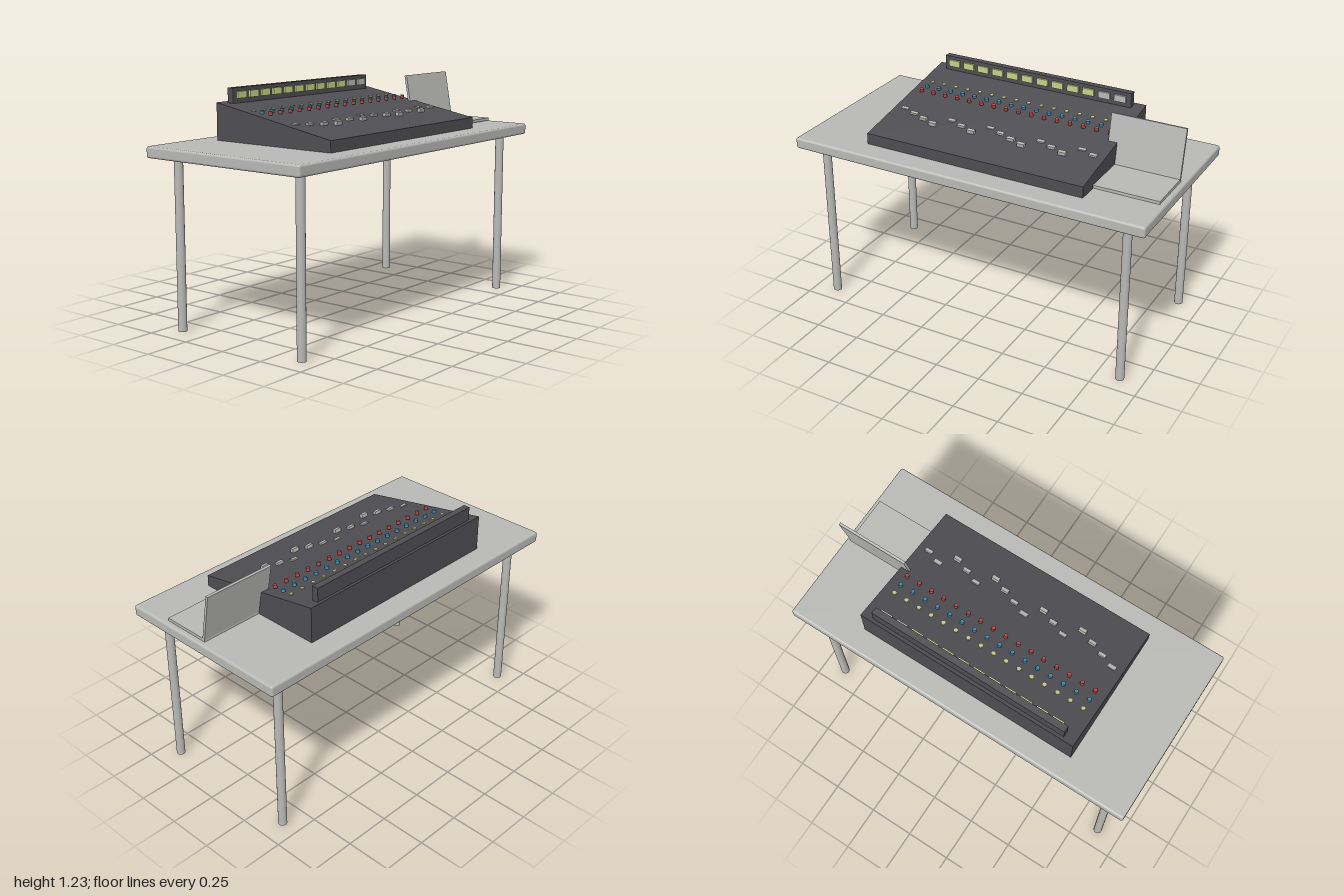
import * as THREE from 'three';
import { RoundedBoxGeometry } from 'three/addons/geometries/RoundedBoxGeometry.js';

export function createModel() {
  const model = new THREE.Group();
  model.name = 'mixingDesk';

  const material = (name, color) => {
    const m = new THREE.MeshStandardMaterial({ color });
    m.name = name;
    return m;
  };
  const grey = material('lightGrey', 0xb9b9b6);
  const dark = material('charcoal', 0x4e4e53);
  const lime = material('paleLime', 0xc6d286);
  const red = material('red', 0xb84a4a);
  const blue = material('blue', 0x3f8fb5);

  const add = (name, geometry, mat, x, y, z, tilt = 0) => {
    const mesh = new THREE.Mesh(geometry, mat);
    mesh.name = name;
    mesh.position.set(x, y, z);
    mesh.rotation.x = tilt;
    model.add(mesh);
    return mesh;
  };
  const box = (w, h, d) => new THREE.BoxGeometry(w, h, d);

  // Table
  add('tableTop', new RoundedBoxGeometry(2, 0.06, 1, 3, 0.012), grey, 0, 0.93, 0);
  const leg = new THREE.CylinderGeometry(0.023, 0.023, 0.905, 24);
  for (const x of [-0.875, 0.875]) {
    for (const z of [-0.4, 0.4]) add('tableLeg', leg, grey, x, 0.4525, z);
  }

  // Wedge-shaped console: side profile extruded across the width
  const width = 1.246;
  const profile = new THREE.Shape([
    new THREE.Vector2(-0.375, 0.958), new THREE.Vector2(0.375, 0.958),
    new THREE.Vector2(0.375, 1.155), new THREE.Vector2(-0.375, 1.02),
  ]);
  const wedge = new THREE.ExtrudeGeometry(profile, { depth: width, bevelEnabled: false });
  wedge.rotateY(Math.PI / 2);
  add('consoleBody', wedge, dark, -width / 2, 0, 0);
  const slope = Math.atan2(0.135, 0.75);

  // Meter bridge with ten lit meters and two unlit ones
  add('meterBridge', box(1.12, 0.08, 0.036), dark, 0, 1.187, -0.338);
  const meter = box(0.066, 0.036, 0.014);
  for (let i = 0; i < 12; i++) {
    add('meter', meter, i < 10 ? lime : grey, -0.5 + i / 11, 1.19, -0.315);
  }

  // Sixteen channels: three knobs and a fader each
  const knob = new THREE.CylinderGeometry(0.0105, 0.0105, 0.018, 16);
  const fader = box(0.042, 0.02, 0.02);
  const knobRows = [['redKnob', red, -0.062], ['blueKnob', blue, -0.119], ['limeKnob', lime, -0.176]];
  for (let i = 0; i < 16; i++) {
    const x = -0.56 + i * 0.0747;
    for (const [name, mat, z] of knobRows) add(name, knob, mat, x, 1.115, z, slope);
    add('fader', fader, grey, x, 1.065, 0.1 + ((i * 2) % 7) * 0.015, slope);
  }

  // Laptop: flat base and screen leaning back
  add('laptopBase', box(0.4, 0.016, 0.27), grey, 0.774, 0.971, 0.127);
  const screen = box(0.4, 0.268, 0.014);
  screen.translate(0, 0.134, 0);
  add('laptopScreen', screen, grey, 0.774, 0.97, 0, -0.18);

  return model;
}
